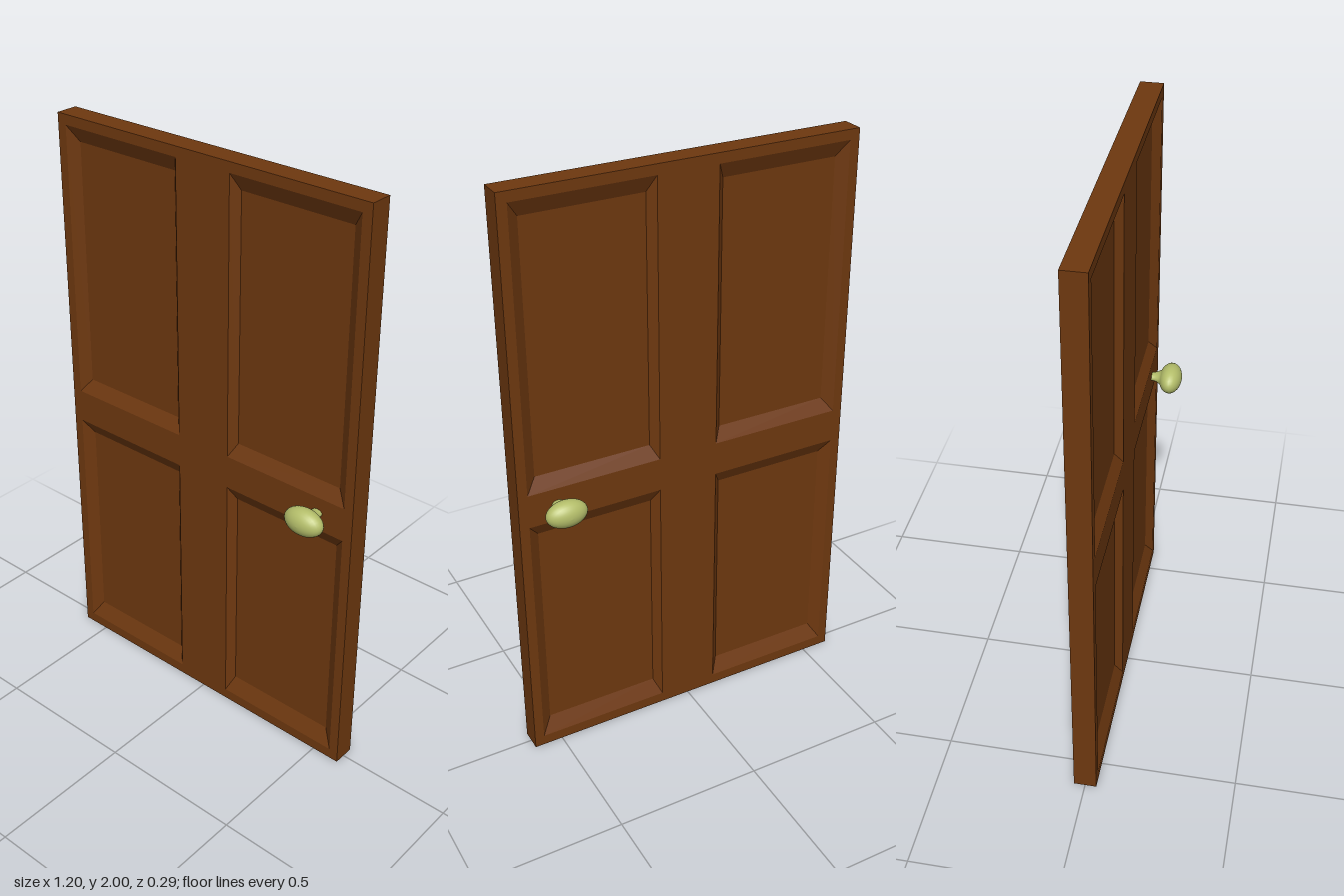
import * as THREE from 'three';

const HALF_THICK = 0.0385;
const RECESS = 0.025;

// Four corners of a rectangle, counter-clockwise seen from +z
const rect = ([x0, x1, y0, y1], z) => [[x0, y0, z], [x1, y0, z], [x1, y1, z], [x0, y1, z]];

// Flat-shaded bands joining each rectangle to the next; optionally closed by the last one
function bands(loops, close) {
  const pos = [];
  const quad = (a, b, c, d) => pos.push(...a, ...b, ...c, ...a, ...c, ...d);
  for (let k = 0; k < loops.length - 1; k++) {
    const a = loops[k], b = loops[k + 1];
    for (let i = 0; i < 4; i++) {
      const j = (i + 1) % 4;
      quad(a[i], a[j], b[j], b[i]);
    }
  }
  if (close) quad(...loops[loops.length - 1]);
  const g = new THREE.BufferGeometry();
  g.setAttribute('position', new THREE.Float32BufferAttribute(pos, 3));
  g.computeVertexNormals();
  return g;
}

export function createModel() {
  const model = new THREE.Group();
  model.name = 'door';
  const wood = new THREE.MeshStandardMaterial({ color: 0x6e380f });
  wood.name = 'brown wood';
  const brass = new THREE.MeshStandardMaterial({ color: 0xb4be6a });
  brass.name = 'pale brass';

  const add = (parent, name, geometry, material) => {
    const mesh = new THREE.Mesh(geometry, material);
    mesh.name = name;
    parent.add(mesh);
    return mesh;
  };

  // Outer edges of the slab
  const outline = [-0.6, 0.6, 0, 2];
  add(model, 'doorEdges', bands([rect(outline, -HALF_THICK), rect(outline, HALF_THICK)], false), wood);

  // Panel openings: outer rim and the smaller sunken field
  const panels = [];
  for (const [y0, y1, f0, f1] of [[0.037, 0.9, 0.095, 0.853], [1.017, 1.966, 1.065, 1.913]]) {
    panels.push({ rim: [0.104, 0.567, y0, y1], field: [0.129, 0.53, f0, f1] });
    panels.push({ rim: [-0.567, -0.104, y0, y1], field: [-0.53, -0.129, f0, f1] });
  }

  // Stiles and rails as one flat face with four openings
  const path = (r) => rect(r, 0).map(([x, y]) => new THREE.Vector2(x, y));
  const face = new THREE.Shape(path(outline));
  for (const p of panels) face.holes.push(new THREE.Path(path(p.rim).reverse()));
  const frameGeometry = new THREE.ShapeGeometry(face).translate(0, 0, HALF_THICK);
  const panelGeometries = panels.map((p) =>
    bands([rect(p.rim, HALF_THICK), rect(p.field, HALF_THICK - RECESS)], true));

  // Oval knob on a flared neck, from the door outwards
  const profile = [[0.019, 0.03], [0.02, 0.045], [0.023, 0.056], [0.029, 0.063]]
    .map(([r, y]) => new THREE.Vector2(r, y));
  for (let i = 0; i <= 14; i++) {
    const a = -1.08 + (i / 14) * (1.08 + Math.PI / 2);
    profile.push(new THREE.Vector2(Math.max(0, 0.07 * Math.cos(a)), 0.105 + 0.04 * Math.sin(a)));
  }
  const knobGeometry = new THREE.LatheGeometry(profile, 32);

  for (const side of [1, -1]) {
    const half = new THREE.Group();
    half.name = side > 0 ? 'frontFace' : 'backFace';
    half.rotation.y = side > 0 ? 0 : Math.PI;
    add(half, 'stilesAndRails', frameGeometry, wood);
    panelGeometries.forEach((g) => add(half, 'sunkenPanel', g, wood));
    model.add(half);

    const knob = add(model, side > 0 ? 'frontKnob' : 'backKnob', knobGeometry, brass);
    knob.position.set(0.467, 0.962, 0);
    knob.rotation.x = side * Math.PI / 2;
    knob.scale.z = 0.66;
  }
  return model;
}
